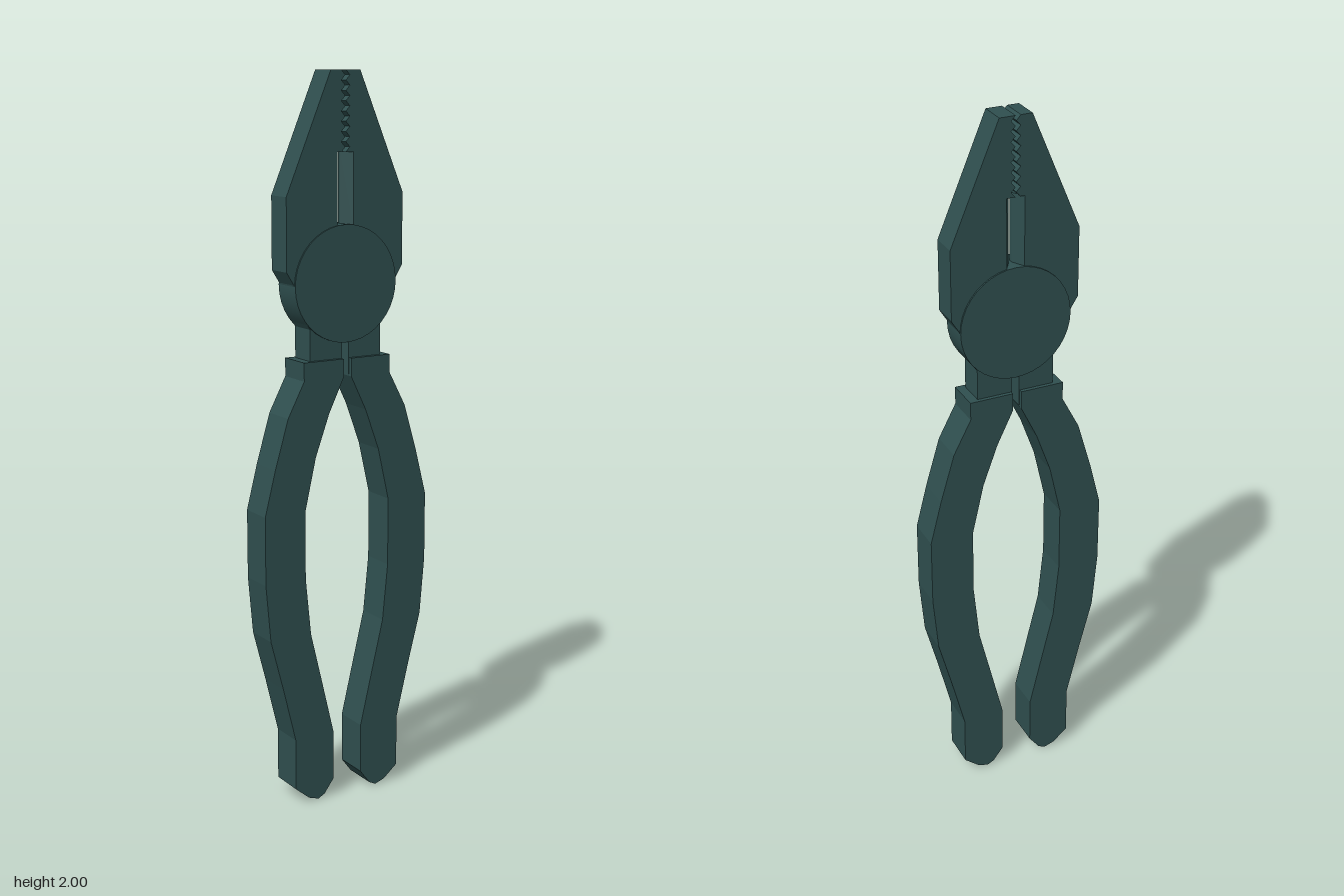
import * as THREE from 'three';

const material = new THREE.MeshStandardMaterial({ color: 0x2f4f4f });

// Flat plate from an outline, centred on z = 0; side mirrors it in x
function plate(name, points, depth, side) {
  const shape = new THREE.Shape(points.map(([x, y]) => new THREE.Vector2(x * side, y)));
  const geometry = new THREE.ExtrudeGeometry(shape, { depth, bevelEnabled: false });
  geometry.translate(0, 0, -depth / 2);
  const mesh = new THREE.Mesh(geometry, material);
  mesh.name = name;
  return mesh;
}

// Zigzag gripping edge, read from the tip downwards; the two sides interlock
function teeth(side) {
  const count = 16, points = [];
  for (let i = 0; i <= count; i++) {
    const peak = (i % 2 === 0) === (side > 0);
    points.push([peak ? 0.001 : 0.013, 2 - (0.21 * i) / count]);
  }
  return points;
}

function createHalf(side) {
  const half = new THREE.Group();
  half.name = side > 0 ? 'leftHalf' : 'rightHalf';

  // Jaw with the shank that runs down into the grip
  half.add(plate('jawAndShank', [
    [0.045, 2], ...teeth(side),
    [0.025, 1.79], [0.025, 1.595], [0.004, 1.595], [0.004, 1.3], [0.01, 1.29], [0.01, 1.2],
    [0.11, 1.2], [0.11, 1.33], [0.13, 1.36], [0.15, 1.42], [0.158, 1.45], [0.18, 1.485], [0.18, 1.68],
  ], 0.078, side));

  // Wedge-shaped cutting edge
  const wedge = new THREE.Shape([[0.025, -0.039], [0.025, 0.039], [0.004, 0.006], [0.004, -0.006]]
    .map(([x, z]) => new THREE.Vector2(x * side, z)));
  const geometry = new THREE.ExtrudeGeometry(wedge, { depth: 0.195, bevelEnabled: false });
  geometry.rotateX(-Math.PI / 2).translate(0, 1.595, 0);
  const cutter = new THREE.Mesh(geometry, material);
  cutter.name = 'cuttingEdge';
  half.add(cutter);

  // Thick curved grip with a chamfered end
  half.add(plate('handleGrip', [
    [0.012, 1.245], [0.012, 1.195], [0.058, 1.1], [0.1, 0.985], [0.133, 0.84], [0.133, 0.65],
    [0.117, 0.49], [0.082, 0.345], [0.045, 0.19], [0.045, 0.05], [0.075, 0.01], [0.095, 0],
    [0.125, 0.01], [0.167, 0.045], [0.167, 0.19], [0.205, 0.345], [0.243, 0.49],
    [0.257, 0.65], [0.257, 0.84], [0.225, 0.965], [0.185, 1.1], [0.135, 1.195], [0.135, 1.245],
  ], 0.1, side));
  return half;
}

export function createModel() {
  const model = new THREE.Group();
  model.name = 'pliers';
  model.add(createHalf(1), createHalf(-1));

  // Round pivot joint
  const pivot = new THREE.Mesh(new THREE.CylinderGeometry(0.157, 0.157, 0.087, 40), material);
  pivot.name = 'pivotDisc';
  pivot.rotation.x = Math.PI / 2;
  pivot.position.y = 1.445;
  model.add(pivot);
  return model;
}
